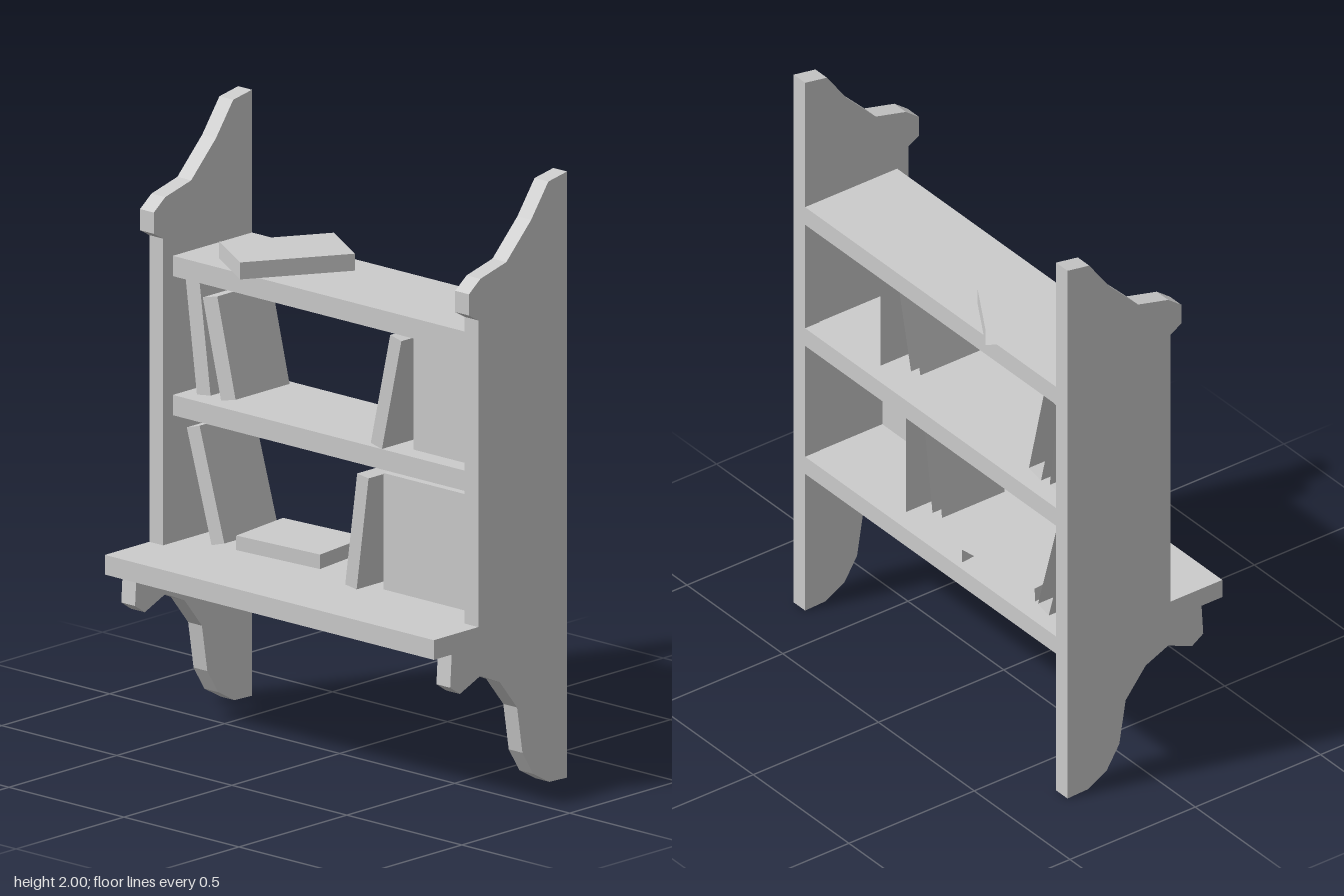
import * as THREE from 'three';

const wood = new THREE.MeshStandardMaterial({ color: 0xcccccc, flatShading: true });
const paper = new THREE.MeshStandardMaterial({
  color: 0xcccccc, flatShading: true, side: THREE.DoubleSide,
});

function add(parent, name, geometry, material, x, y, z) {
  const mesh = new THREE.Mesh(geometry, material);
  mesh.name = name;
  mesh.position.set(x, y, z);
  parent.add(mesh);
  return mesh;
}

const extrude = (points, depth) => new THREE.ExtrudeGeometry(
  new THREE.Shape(points.map(([x, y]) => new THREE.Vector2(x, y))),
  { depth, bevelEnabled: false },
);

// Box resting on its base, so it can lean about its foot
const standing = (w, h, d) => new THREE.BoxGeometry(w, h, d).translate(0, h / 2, 0);

// Hollow book shell, open on the +x side opposite its spine
function shell(h, d) {
  const geometry = standing(0.25, h, d);
  geometry.setIndex(Array.from(geometry.index.array).slice(6));
  geometry.clearGroups();
  return geometry;
}

export function createModel() {
  const model = new THREE.Group();
  model.name = 'bookcase';

  // Scrolled side panels, the shelf front facing -x
  const profile = [
    [0.292, 0], [0.292, 2], [0.205, 1.985], [0.125, 1.875], [0.01, 1.76],
    [-0.11, 1.73], [-0.163, 1.69], [-0.163, 1.62], [-0.12, 1.595],
    [-0.12, 0.518], [-0.243, 0.518], [-0.25, 0.41], [-0.205, 0.38], [-0.11, 0.42],
    [-0.02, 0.38], [0.06, 0.28], [0.085, 0.125], [0.135, 0.045], [0.21, 0.003],
  ];
  const panel = extrude(profile, 0.06);
  add(model, 'leftSidePanel', panel, wood, 0, 0, 0.655);
  add(model, 'rightSidePanel', panel, wood, 0, 0, -0.715);

  // Bottom shelf: notched round the panels, with a full-width front ledge
  const base = extrude([
    [-0.326, -0.715], [-0.12, -0.715], [-0.12, -0.655], [0.292, -0.655],
    [0.292, 0.655], [-0.12, 0.655], [-0.12, 0.715], [-0.326, 0.715],
  ], 0.065).rotateX(-Math.PI / 2);
  add(model, 'bottomShelf', base, wood, 0, 0.518, 0);

  // Upper shelves
  const shelf = standing(0.367, 0.067, 1.31);
  add(model, 'middleShelf', shelf, wood, 0.1085, 1.003, 0);
  add(model, 'topShelf', shelf, wood, 0.1085, 1.462, 0);

  const books = new THREE.Group();
  books.name = 'books';
  model.add(books);

  // Packed rows of upright books
  add(books, 'middleBookRow', shell(0.38, 0.32), paper, 0.11, 1.072, 0.495);
  add(books, 'lowerBookRow', shell(0.384, 0.45), paper, 0.11, 0.585, 0.429);

  // Leaning books: height, thickness, foot x, y, z, lean
  const leaning = [
    [0.382, 0.05, 0.052, 1.075, 0.228, 0.223],
    [0.335, 0.065, 0.108, 1.077, -0.468, -0.24],
    [0.382, 0.06, 0.108, 1.073, -0.575, -0.13],
    [0.38, 0.05, 0.047, 0.59, 0.122, 0.137],
    [0.383, 0.058, 0.112, 0.591, -0.517, -0.285],
  ];
  for (const [h, t, x, y, z, lean] of leaning) {
    add(books, 'leaningBook', shell(h, t), paper, x, y, z).rotation.x = lean;
  }

  // Books lying flat
  const topBook = add(books, 'topFlatBook', shell(0.056, 0.378), paper, 0.097, 1.53, -0.32);
  topBook.rotation.y = 1.024;
  const lowBook = add(books, 'lowerFlatBook', shell(0.048, 0.33), paper, 0.125, 0.587, -0.284);
  lowBook.rotation.set(0.02, 0.12, 0);

  return model;
}
